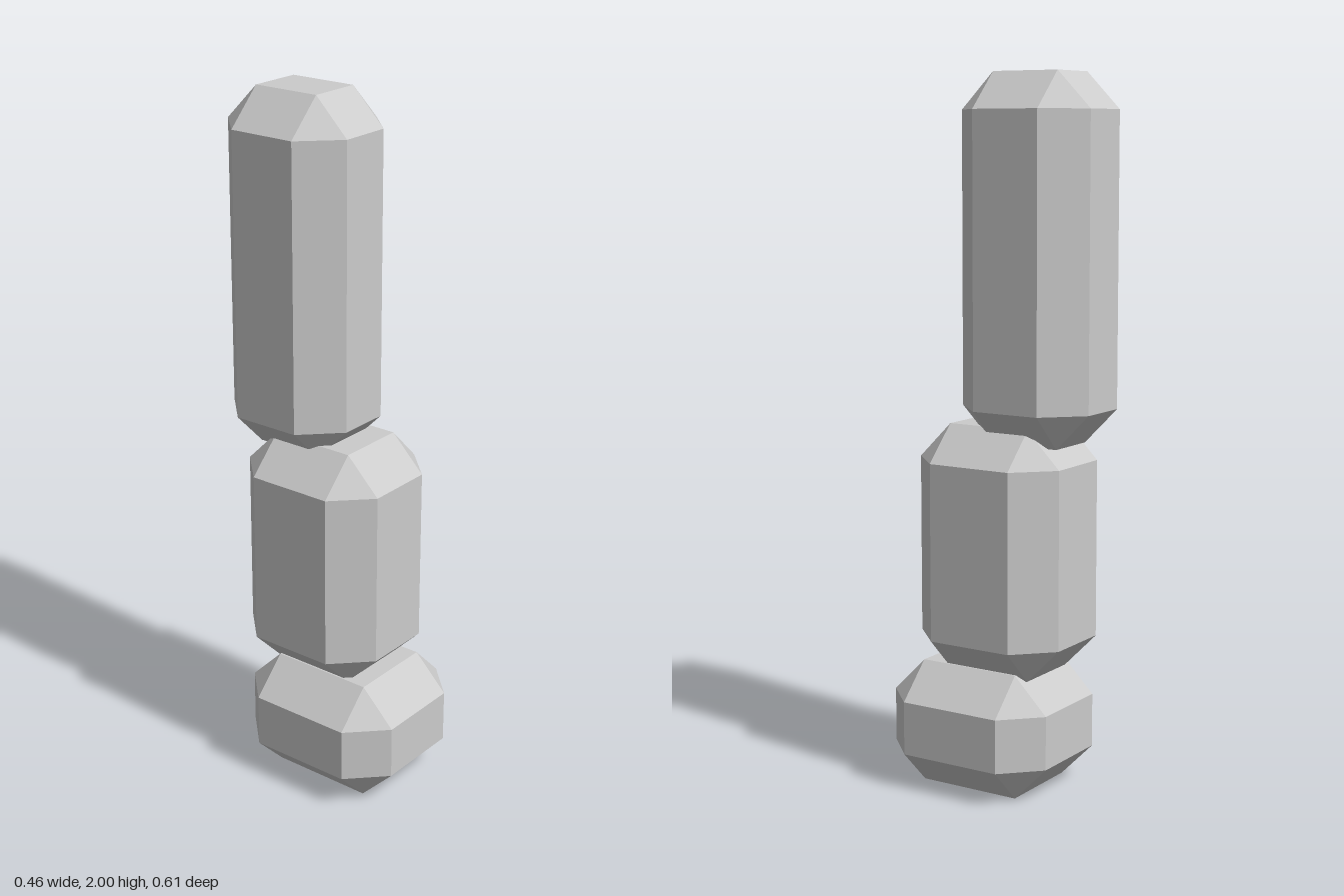
import * as THREE from 'three';
import { ConvexGeometry } from 'three/addons/geometries/ConvexGeometry.js';

const BEVEL = 0.101;

// Box with every edge cut at 45 degrees and every corner cut to a triangle
function chamferedBox(w, h, d, b) {
  const [x, y, z] = [w / 2, h / 2, d / 2];
  const points = [];
  for (const sx of [-1, 1]) for (const sy of [-1, 1]) for (const sz of [-1, 1]) {
    points.push(
      new THREE.Vector3(sx * x, sy * (y - b), sz * (z - b)),
      new THREE.Vector3(sx * (x - b), sy * y, sz * (z - b)),
      new THREE.Vector3(sx * (x - b), sy * (y - b), sz * z)
    );
  }
  return new ConvexGeometry(points);
}

export function createModel() {
  const group = new THREE.Group();
  const material = new THREE.MeshStandardMaterial({ color: 0xcccccc, flatShading: true });

  // Stacked segments, each slimmer and set further back than the one below
  const segments = [
    { name: 'lowerSegment', width: 0.456, y: [0, 0.355], z: [-0.204, 0.304] },
    { name: 'middleSegment', width: 0.406, y: [0.335, 1.04], z: [-0.228, 0.227] },
    { name: 'upperSegment', width: 0.356, y: [0.99, 2], z: [-0.304, 0.1] },
  ];
  for (const { name, width, y, z } of segments) {
    const mesh = new THREE.Mesh(chamferedBox(width, y[1] - y[0], z[1] - z[0], BEVEL), material);
    mesh.name = name;
    mesh.position.set(0, (y[0] + y[1]) / 2, (z[0] + z[1]) / 2);
    group.add(mesh);
  }
  return group;
}
